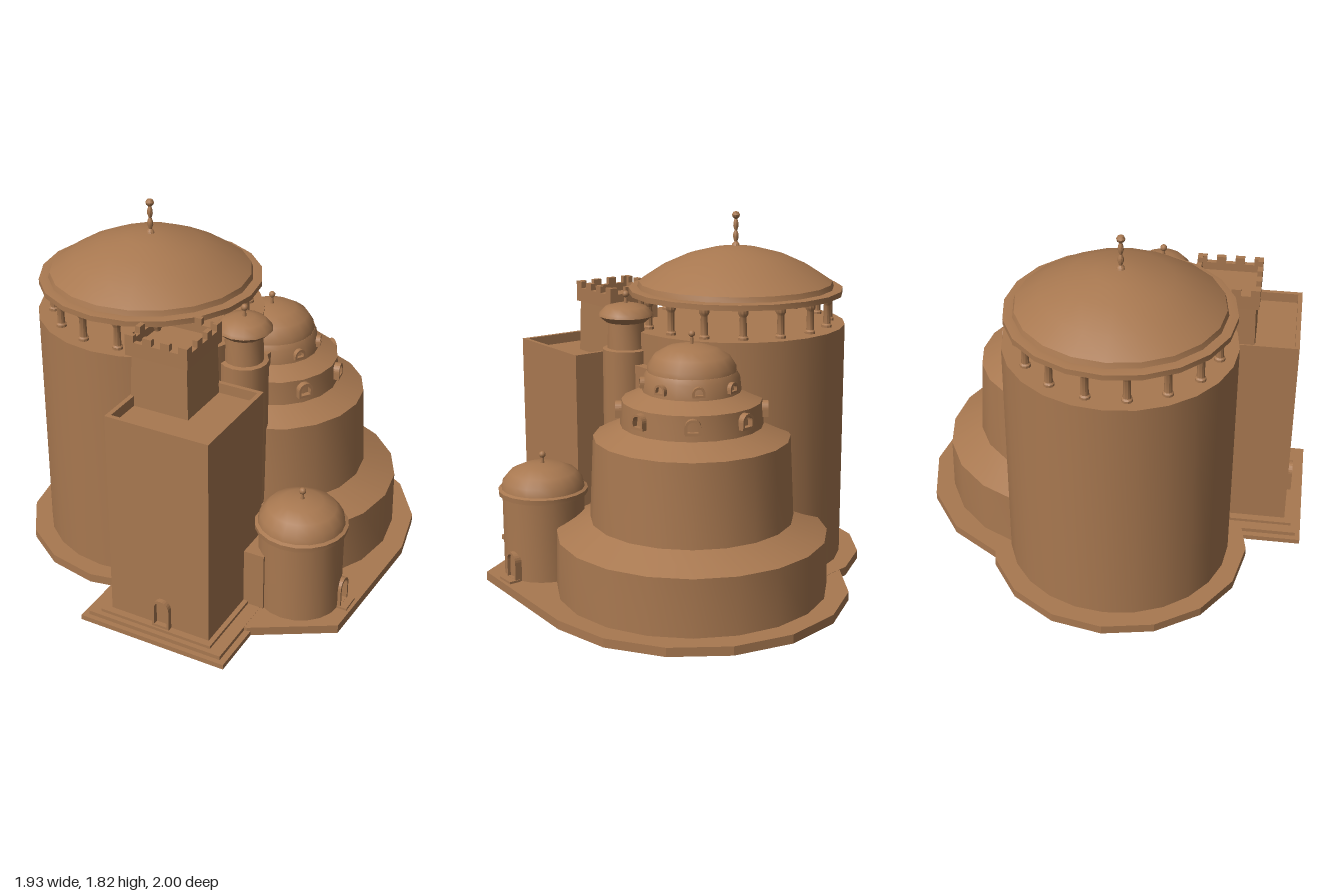
import * as THREE from 'three';
import { toCreasedNormals } from 'three/addons/utils/BufferGeometryUtils.js';

export function createModel() {
  const model = new THREE.Group();
  const clay = new THREE.MeshStandardMaterial({ color: 0xa87850 });
  clay.name = 'clay brown';

  const add = (name, geo, x = 0, y = 0, z = 0, parent = model) => {
    const m = new THREE.Mesh(geo, clay);
    m.name = name;
    m.position.set(x, y, z);
    parent.add(m);
    return m;
  };
  const lathe = (name, pts, sides, x, z, y = 0, parent = model) =>
    add(name, toCreasedNormals(new THREE.LatheGeometry(pts.map(p => new THREE.Vector2(...p)), sides), 0.6), x, y, z, parent);
  // box given by its min and max corners
  const block = (name, x0, x1, y0, y1, z0, z1) =>
    add(name, new THREE.BoxGeometry(x1 - x0, y1 - y0, z1 - z0), (x0 + x1) / 2, (y0 + y1) / 2, (z0 + z1) / 2);
  // raised rim around a flat square top
  const rim = (name, x0, x1, y0, y1, z0, z1, t) => {
    block(name, x0, x1, y0, y1, z1 - t, z1);
    block(name, x0, x1, y0, y1, z0, z0 + t);
    block(name, x0, x0 + t, y0, y1, z0 + t, z1 - t);
    block(name, x1 - t, x1, y0, y1, z0 + t, z1 - t);
  };
  const arch = (Type, w, h) => {
    const s = new Type();
    s.moveTo(-w / 2, 0);
    s.lineTo(w / 2, 0);
    s.lineTo(w / 2, h - w / 2);
    s.absarc(0, h - w / 2, w / 2, 0, Math.PI, false);
    s.lineTo(-w / 2, 0);
    return s;
  };
  // arched frame with an open recess, facing +z before it is turned
  const archFrame = (name, w, h, depth, t, x, y, z, turn) => {
    const s = arch(THREE.Shape, w, h);
    const hole = arch(THREE.Path, w - 2 * t, h - 2 * t);
    s.holes.push(new THREE.Path(hole.getPoints(6).map(p => p.add(new THREE.Vector2(0, t)))));
    add(name, new THREE.ExtrudeGeometry(s, { depth, bevelEnabled: false, curveSegments: 6 }), x, y, z).rotation.y = turn;
  };
  const finial = (x, y, z, r = 0.018) => {
    add('finialBall', new THREE.SphereGeometry(r, 10, 8), x, y, z);
    add('finialStem', new THREE.CylinderGeometry(r * 0.35, r * 0.6, r * 3, 8), x, y - r * 1.6, z);
  };

  // Ground plates
  const ring = (cx, cz, r, from, to) => {
    const pts = [];
    for (let i = from; i <= to; i++) {
      const a = i * Math.PI / 8;
      pts.push([cx + r * Math.sin(a), cz + r * Math.cos(a)]);
    }
    return pts;
  };
  const plate = (name, pts, h) => {
    const s = new THREE.Shape(pts.map(([x, z]) => new THREE.Vector2(x, -z)));
    add(name, new THREE.ExtrudeGeometry(s, { depth: h, bevelEnabled: false }).rotateX(-Math.PI / 2));
  };
  plate('mainBase', ring(-0.32, 0.08, 0.65, 0, 15), 0.045);
  plate('steppedBase', [[0.3, 0.76], [0.56, 0.73], [0.93, 0.51], ...ring(0.19, -0.23, 0.77, 4, 13)], 0.044);

  // Great drum with colonnade and shallow dome
  const DX = -0.315, DZ = 0.08;
  lathe('greatDrum', [[0, 0.03], [0.557, 0.03], [0.557, 1.255], [0, 1.255]], 24, DX, DZ);
  for (let i = 0; i < 16; i++) {
    const a = (i + 0.5) * Math.PI / 8;
    lathe('column', [[0.026, 0], [0.026, 0.015], [0.019, 0.022], [0.017, 0.115], [0.026, 0.13], [0.026, 0.155]],
      10, DX + 0.48 * Math.sin(a), DZ + 0.48 * Math.cos(a), 1.252);
  }
  lathe('greatDome', [[0, 1.405], [0.545, 1.405], [0.545, 1.432], [0.515, 1.436], [0.5, 1.436], [0.492, 1.462],
    [0.38, 1.535], [0.25, 1.594], [0.12, 1.628], [0, 1.645]], 20, DX, DZ);
  lathe('greatFinial', [[0.024, 1.63], [0.018, 1.652], [0.008, 1.662], [0.015, 1.685], [0.014, 1.7], [0.007, 1.718], [0.014, 1.74],
    [0.013, 1.758], [0.007, 1.776], [0.018, 1.786], [0.021, 1.797], [0.014, 1.81], [0, 1.815]], 10, DX, DZ);

  // Stepped round hall
  const HX = 0.19, HZ = -0.23;
  lathe('steppedHall', [[0, 0.03], [0.665, 0.03], [0.66, 0.325], [0.495, 0.4], [0.475, 0.805], [0.345, 0.865],
    [0.337, 0.985], [0.238, 1.03], [0.23, 1.1], [0.215, 1.125], [0, 1.125]], 20, HX, HZ);
  lathe('hallDome', [[0.215, 1.115], [0.212, 1.15], [0.18, 1.2], [0.12, 1.235], [0.05, 1.25], [0, 1.253]], 20, HX, HZ);
  finial(HX, 1.3, HZ, 0.016);
  for (let i = 0; i < 8; i++) {
    const a = i * Math.PI / 4 + 0.95;
    archFrame('hallWindow', 0.075, 0.075, 0.05, 0.012, HX + 0.315 * Math.sin(a), 0.9, HZ + 0.315 * Math.cos(a), a);
    const b = a + 0.12;
    archFrame('domeWindow', 0.06, 0.05, 0.04, 0.01, HX + 0.21 * Math.sin(b), 1.048, HZ + 0.21 * Math.cos(b), b);
  }

  // Square front tower with sunken roof
  block('entranceStep', -0.195, 0.575, 0, 0.025, 0.5, 1);
  block('entranceStep', -0.165, 0.545, 0.02, 0.045, 0.5, 0.975);
  block('entranceStep', -0.11, 0.48, 0.04, 0.06, 0.5, 0.95);
  block('frontTower', -0.07, 0.455, 0.04, 1.07, 0.385, 0.915);
  rim('frontTowerParapet', -0.07, 0.455, 1.07, 1.12, 0.385, 0.915, 0.022);
  archFrame('frontDoor', 0.09, 0.15, 0.03, 0.012, 0.21, 0.06, 0.91, 0);

  // Battlemented upper tower
  const upper = new THREE.BoxGeometry(0.3, 0.3, 0.3);
  const p = upper.attributes.position;
  for (let i = 0; i < p.count; i++) {
    if (p.getY(i) > 0) p.setXYZ(i, p.getX(i) * 0.95, p.getY(i), p.getZ(i) * 0.95);
  }
  upper.computeVertexNormals();
  add('upperTower', upper, 0.085, 1.19, 0.55);
  block('battlementFloor', -0.08, 0.24, 1.33, 1.36, 0.39, 0.71);
  rim('battlementWall', -0.08, 0.24, 1.36, 1.4, 0.39, 0.71, 0.025);
  for (let i = 0; i < 4; i++) {
    const u = i * 0.0917;
    for (const z of [0.39, 0.685]) block('merlon', -0.08 + u, -0.035 + u, 1.4, 1.433, z, z + 0.025);
    for (const x of [-0.08, 0.215]) block('merlon', x, x + 0.025, 1.4, 1.433, 0.39 + u, 0.435 + u);
  }

  // Slim turret and its link to the hall
  const TX = 0.265, TZ = 0.215;
  lathe('turretShaft', [[0, 0.03], [0.122, 0.03], [0.118, 1.165], [0.095, 1.17], [0.09, 1.3], [0.105, 1.31], [0, 1.31]], 16, TX, TZ);
  lathe('turretDome', [[0, 1.3], [0.1, 1.3], [0.136, 1.33], [0.13, 1.345], [0.1, 1.375], [0.05, 1.388], [0, 1.392]], 14, TX, TZ);
  finial(TX, 1.435, TZ, 0.017);
  block('turretLink', 0.2, 0.29, 0.8, 1.1, -0.03, 0.15);

  // Small domed chapel
  const CX = 0.665, CZ = 0.38;
  lathe('chapelBody', [[0, 0.03], [0.205, 0.03], [0.205, 0.455], [0, 0.455]], 20, CX, CZ);
  lathe('chapelDome', [[0, 0.45], [0.222, 0.45], [0.224, 0.475], [0.208, 0.482], [0.2, 0.52], [0.165, 0.562], [0.1, 0.592],
    [0, 0.604]], 20, CX, CZ);
  finial(CX, 0.645, CZ, 0.017);
  archFrame('chapelDoor', 0.09, 0.145, 0.05, 0.012, CX + 0.17, 0.044, 0.34, Math.PI / 2);
  block('chapelDoorStep', 0.86, 0.92, 0.03, 0.055, 0.29, 0.39);
  block('chapelLink', 0.44, 0.56, 0.03, 0.345, 0.4, 0.565);

  return model;
}
